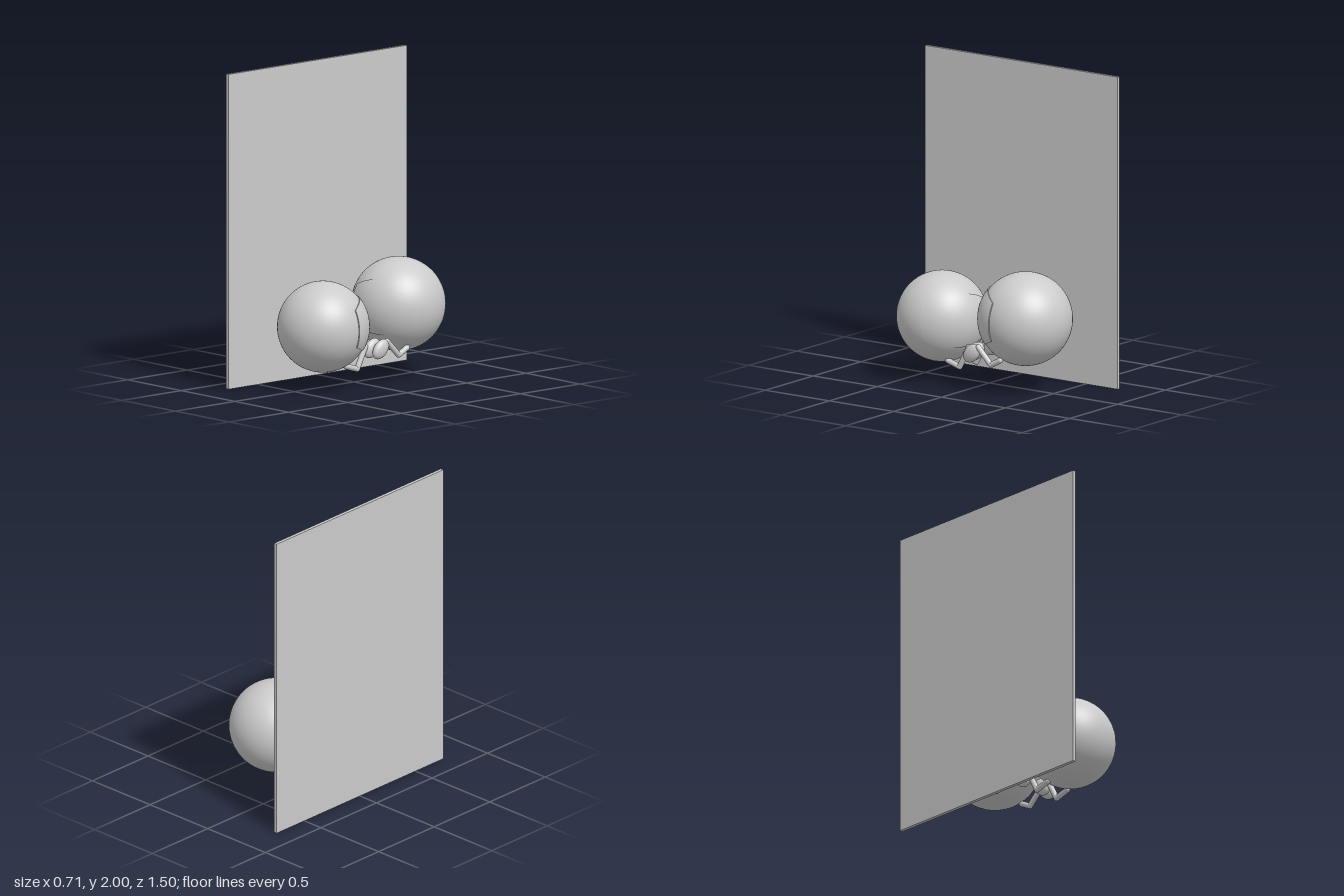
import * as THREE from 'three';
import { toCreasedNormals } from 'three/addons/utils/BufferGeometryUtils.js';

const material = new THREE.MeshStandardMaterial({ color: 0xcccccc });
const UP = new THREE.Vector3(0, 1, 0);

function add(parent, name, geometry) {
  const mesh = new THREE.Mesh(geometry, material);
  mesh.name = name;
  parent.add(mesh);
  return mesh;
}

// Raised four-sided patch lying on a sphere, with its rim sunk into the surface
function facePatch(radius) {
  const n = 32;
  const geo = new THREE.PlaneGeometry(1, 1, n, n);
  const pos = geo.attributes.position;
  const p = new THREE.Vector3();
  for (let i = 0; i < pos.count; i++) {
    const c = i % (n + 1), r = Math.floor(i / (n + 1));
    const rim = c === 0 || r === 0 || c === n || r === n;
    const s = (THREE.MathUtils.clamp(c, 1, n - 1) - 1) / (n - 2);
    const t = (THREE.MathUtils.clamp(r, 1, n - 1) - 1) / (n - 2);
    p.set(Math.tan((2 * s - 1) * 0.9), 0.82 - 1.44 * t, 1);
    p.normalize().multiplyScalar(rim ? radius - 0.01 : radius + 0.006);
    pos.setXYZ(i, p.x, p.y, p.z);
  }
  return toCreasedNormals(geo, 0.6);
}

// Round-ended limb segment between two points
function segment(parent, name, a, b, radius) {
  const dir = b.clone().sub(a);
  const mesh = add(parent, name, new THREE.CapsuleGeometry(radius, dir.length(), 8, 20));
  mesh.position.copy(a).lerp(b, 0.5);
  mesh.quaternion.setFromUnitVectors(UP, dir.normalize());
}

function ballFigure({ name, centre, radius, turn, legX, foot, footTilt, joints }) {
  const figure = new THREE.Group();
  figure.name = name;
  add(figure, 'body', new THREE.SphereGeometry(radius, 64, 48)).position.set(...centre);
  const face = add(figure, 'facePatch', facePatch(radius));
  face.position.set(...centre);
  face.rotation.y = turn;

  for (const x of legX) {
    const leg = new THREE.Group();
    leg.name = 'leg';
    const [hip, knee, ankle] = joints.map(([y, z]) => new THREE.Vector3(x, y, z));
    segment(leg, 'thigh', hip, knee, 0.018);
    segment(leg, 'shin', knee, ankle, 0.018);
    const sole = add(leg, 'foot', new THREE.SphereGeometry(1, 32, 24));
    sole.scale.set(0.032, 0.05, 0.072);
    sole.position.set(x, ...foot);
    sole.rotation.x = footTilt;
    figure.add(leg);
  }
  return figure;
}

export function createModel() {
  const model = new THREE.Group();
  model.name = 'ballFiguresBesideWall';

  // Thin upright wall panel
  add(model, 'wallPanel', new THREE.BoxGeometry(0.022, 2, 1.5)).position.set(-0.346, 1, 0);

  // Two round figures facing one another with their feet together
  model.add(ballFigure({
    name: 'frontFigure',
    centre: [0.066, 0.4, 0.318], radius: 0.287,
    turn: Math.PI - THREE.MathUtils.degToRad(29),
    legX: [-0.018, 0.157],
    foot: [0.235, -0.012], footTilt: 0.75,
    joints: [[0.145, 0.205], [0.117, 0.113], [0.25, 0.045]],
  }));
  model.add(ballFigure({
    name: 'backFigure',
    centre: [0.057, 0.467, -0.325], radius: 0.296,
    turn: THREE.MathUtils.degToRad(25),
    legX: [-0.084, 0.221],
    foot: [0.235, -0.028], footTilt: 0.75,
    joints: [[0.218, -0.25], [0.18, -0.178], [0.28, -0.08]],
  }));
  return model;
}
